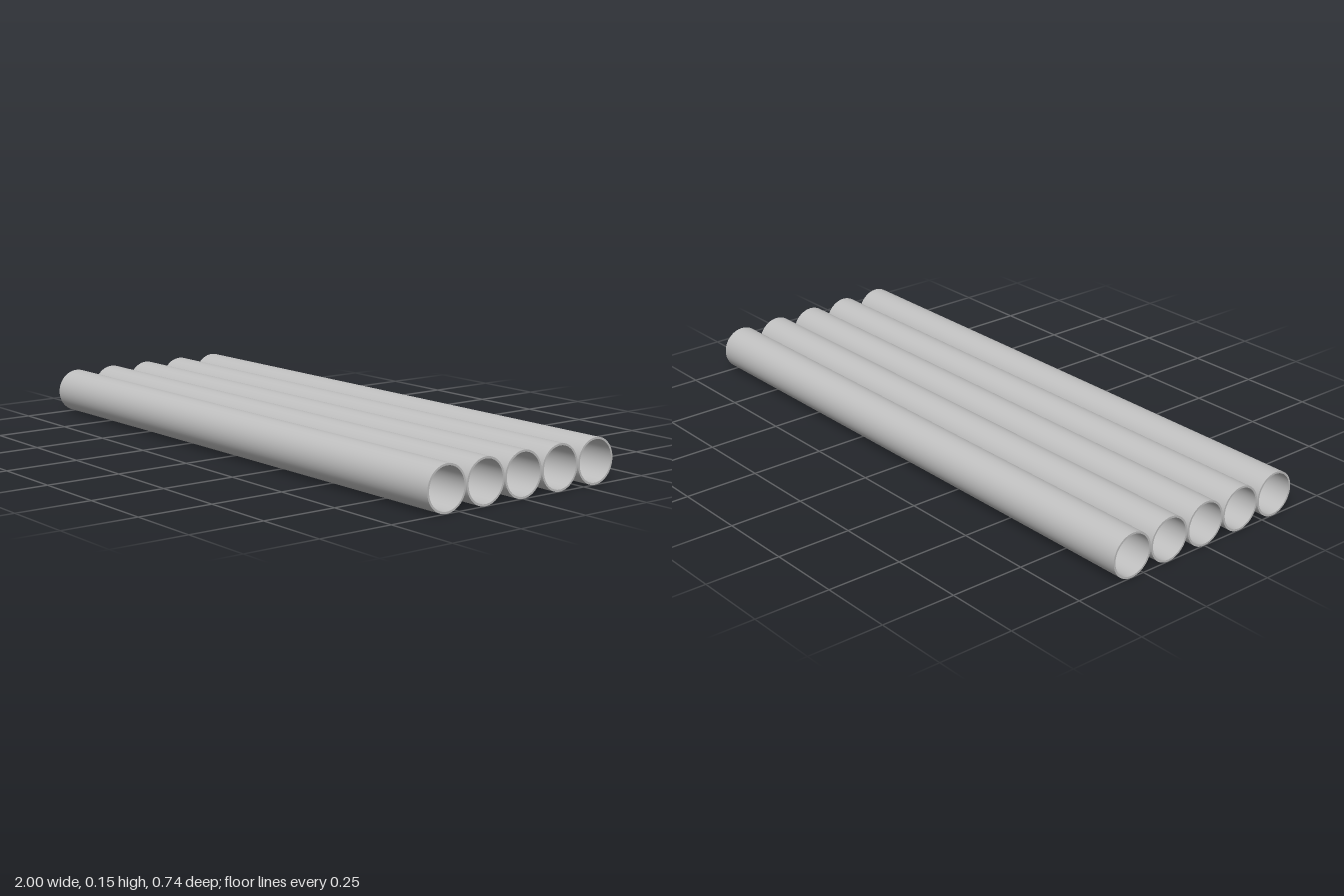
import * as THREE from 'three';
import { mergeGeometries } from 'three/addons/utils/BufferGeometryUtils.js';

const OUTER = 0.073, INNER = 0.0665, HALF = 1, PITCH = 0.1485, COUNT = 5;

// Hollow pipe along x: each profile edge is turned separately so the rims stay sharp.
function pipeGeometry() {
  const profile = [[OUTER, -HALF], [OUTER, HALF], [INNER, HALF], [INNER, -HALF]]
    .map(([r, y]) => new THREE.Vector2(r, y));
  const walls = profile.map((p, i) => new THREE.LatheGeometry([p, profile[(i + 1) % 4]], 64));
  return mergeGeometries(walls).rotateZ(-Math.PI / 2);
}

export function createModel() {
  const model = new THREE.Group();
  model.name = 'pipeRow';
  const steel = new THREE.MeshStandardMaterial({ color: 0xc0c0c0 });
  steel.name = 'lightGreySteel';

  // Five pipes lying side by side with a hairline gap
  const geometry = pipeGeometry();
  for (let i = 0; i < COUNT; i++) {
    const pipe = new THREE.Mesh(geometry, steel);
    pipe.name = `pipe${i + 1}`;
    pipe.position.set(0, OUTER, (i - (COUNT - 1) / 2) * PITCH);
    model.add(pipe);
  }
  return model;
}
